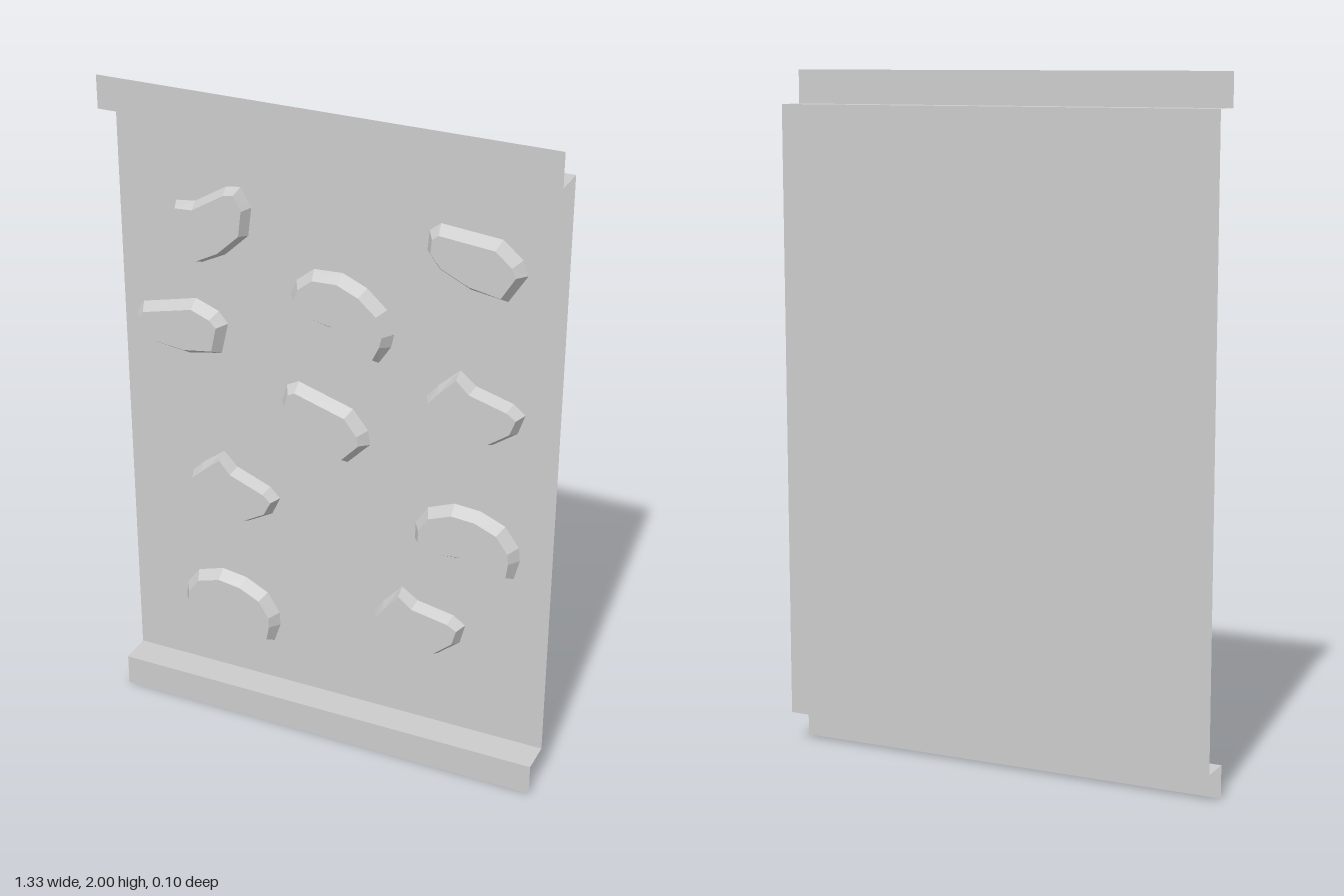
import * as THREE from 'three';

const WIDTH = 1.33, DEPTH = 0.048, LIP = 0.097, HOLD_FRONT = -0.014;

// Hold outlines, clockwise, in hundredths of a unit
const OUTLINES = {
  bean: [[-15.9, 1], [-12.2, 6.9], [-4.2, 10.1], [3.7, 9.5], [11.1, 6.4], [15.4, 0.5], [15.9, -3.7],
    [14.3, -10.1], [5.3, -8.5], [-1.6, -7.4], [-11.7, -8.5], [-15.9, -4.2]],
  pebble: [[-13.8, 6.9], [-10.6, 9.5], [6.9, 8], [12.7, 3.2], [14.3, -1], [9, -9.5], [-1.6, -8],
    [-10.6, -3.7], [-14.3, 1]],
  heart: [[-14.3, 1.9], [-10.6, 5.6], [-3.7, 10.9], [0.5, 6.6], [11.1, 2.4], [14.3, -0.8], [11.7, -6.6],
    [4.2, -10.9], [-5.8, -9.3], [-13.2, -5.6]],
};
const INSET = { bean: 0.023, pebble: 0.023, heart: 0.016 };

// Outline, centre x, centre y, turn in degrees
const HOLDS = [
  ['heart', -0.37, 1.58, 53], ['pebble', 0.41, 1.61, 0],
  ['bean', 0.02, 1.38, -19], ['pebble', -0.48, 1.25, 19],
  ['heart', 0.42, 1.18, 6], ['pebble', -0.03, 1.03, -12],
  ['heart', -0.32, 0.75, 0], ['bean', 0.41, 0.76, 0],
  ['bean', -0.34, 0.34, -4], ['heart', 0.27, 0.44, 11],
];

const material = new THREE.MeshStandardMaterial({
  color: 0xcccccc, flatShading: true, side: THREE.DoubleSide,
});

// Raised hold: bevelled wall from the panel up to a smaller flat face
function holdGeometry(kind, x, y, degrees) {
  const turn = THREE.MathUtils.degToRad(degrees);
  const outer = OUTLINES[kind].map(([px, py]) =>
    new THREE.Vector2(px, py).multiplyScalar(0.01).rotateAround(new THREE.Vector2(), turn)).reverse();
  const centre = new THREE.Box2().setFromPoints(outer).getCenter(new THREE.Vector2());
  outer.forEach((p) => p.sub(centre).add(new THREE.Vector2(x, y)));

  const n = outer.length;
  const inner = outer.map((p, i) => {
    const a = p.clone().sub(outer[(i + n - 1) % n]).normalize();
    const b = outer[(i + 1) % n].clone().sub(p).normalize();
    const along = a.add(b).normalize();
    return new THREE.Vector2(p.x - along.y * INSET[kind], p.y + along.x * INSET[kind]);
  });

  const positions = [];
  const base = (i) => positions.push(outer[i].x, outer[i].y, -DEPTH);
  const face = (i) => positions.push(inner[i].x, inner[i].y, HOLD_FRONT);
  for (let i = 0; i < n; i++) {
    const j = (i + 1) % n;
    base(i); base(j); face(j);
    base(i); face(j); face(i);
  }
  THREE.ShapeUtils.triangulateShape(inner, []).forEach((triangle) => triangle.forEach(face));

  const geometry = new THREE.BufferGeometry();
  geometry.setAttribute('position', new THREE.Float32BufferAttribute(positions, 3));
  geometry.computeVertexNormals();
  return geometry;
}

export function createModel() {
  const model = new THREE.Group();
  model.name = 'climbingPanel';

  const addSheet = (name, height, y, z, flat = false) => {
    const mesh = new THREE.Mesh(new THREE.PlaneGeometry(WIDTH, height), material);
    mesh.name = name;
    mesh.position.set(0, y, z);
    if (flat) mesh.rotation.x = -Math.PI / 2;
    model.add(mesh);
  };

  // Main panel, set back behind the mounting lips
  addSheet('panel', 2 - 2 * LIP, 1, -DEPTH);

  // Folded return and mounting lip at each end
  for (const [end, fold, lip] of [['bottom', LIP, LIP / 2], ['top', 2 - LIP, 2 - LIP / 2]]) {
    addSheet(end + 'Return', 2 * DEPTH, fold, 0, true);
    addSheet(end + 'Lip', LIP, lip, DEPTH);
  }

  // Climbing holds
  const holds = new THREE.Group();
  holds.name = 'holds';
  HOLDS.forEach((hold, i) => {
    const mesh = new THREE.Mesh(holdGeometry(...hold), material);
    mesh.name = 'hold' + (i + 1);
    holds.add(mesh);
  });
  model.add(holds);

  return model;
}
